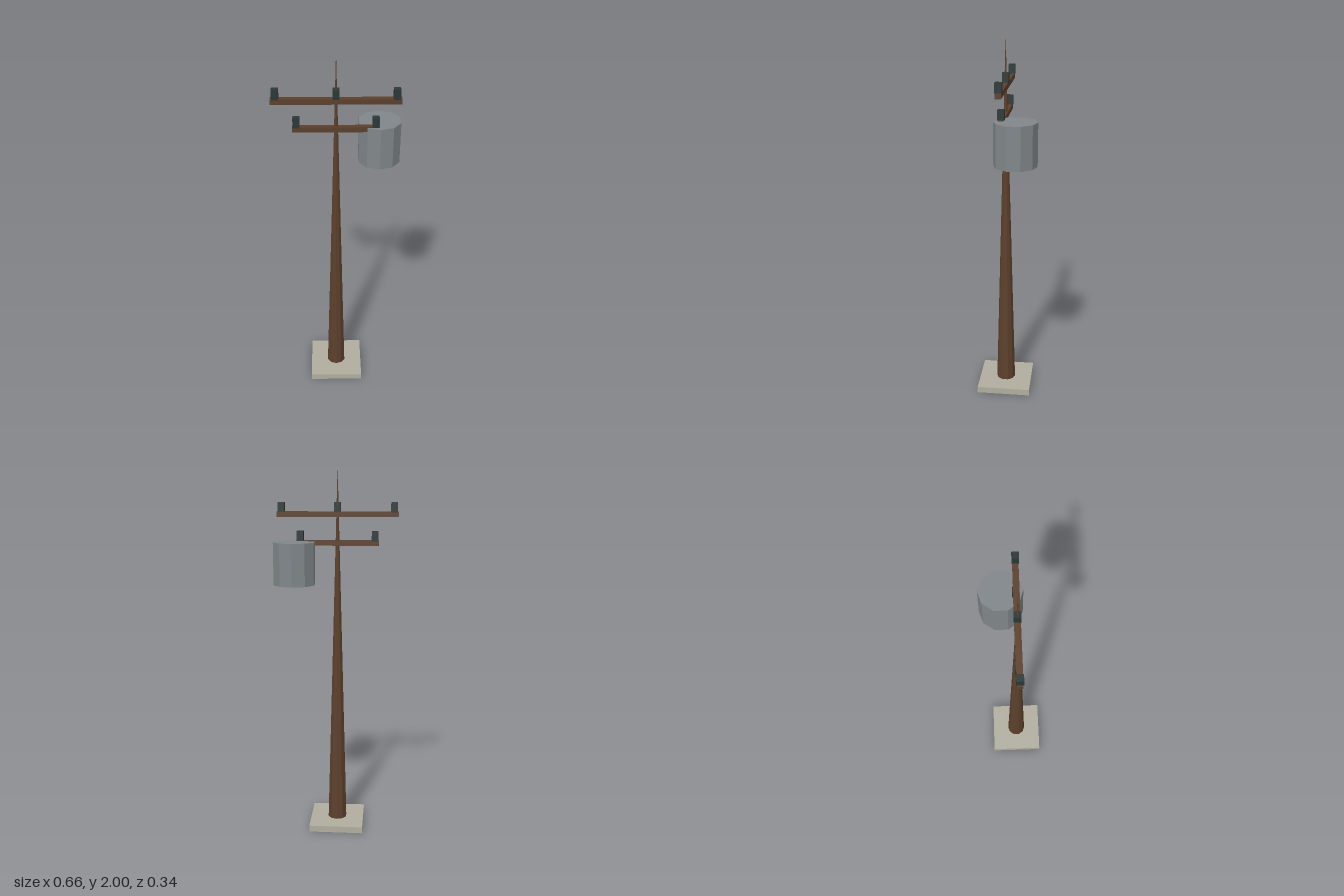
import * as THREE from 'three';

export function createModel() {
  const model = new THREE.Group();
  model.name = 'utilityPole';

  const material = (name, color) => {
    const m = new THREE.MeshStandardMaterial({ color, flatShading: true });
    m.name = name;
    return m;
  };
  const wood = material('brown wood', 0x5c402c);
  const concrete = material('pale concrete', 0xb0ad9f);
  const steel = material('grey steel', 0x80868a);
  const ceramic = material('dark ceramic', 0x2c3737);

  // Centre line of the pole
  const px = -0.005, pz = 0.017;

  const add = (name, geometry, mat, x, y, z) => {
    const mesh = new THREE.Mesh(geometry, mat);
    mesh.name = name;
    mesh.position.set(x, y, z);
    model.add(mesh);
  };
  const box = (name, w, h, d, mat, x, bottom, z) =>
    add(name, new THREE.BoxGeometry(w, h, d), mat, x, bottom + h / 2, z);

  // Square footing and ten-sided pole tapering to a point
  box('footing', 0.3, 0.036, 0.3, concrete, px, 0, pz);
  add('pole', new THREE.CylinderGeometry(0.0005, 0.054, 1.995, 10), wood, px, 1.0025, pz);

  // Crossarms, each with its row of insulators
  const crossarm = (name, length, depth, bottom, offsets) => {
    const h = 0.028;
    box(name + 'Crossarm', length, h, depth, wood, px, bottom, pz);
    offsets.forEach((dx) =>
      box(name + 'Insulator', 0.035, 0.052, 0.035, ceramic, px + dx, bottom + h - 0.003, pz));
  };
  crossarm('upper', 0.65, 0.03, 1.753, [-0.3, 0, 0.3]);
  crossarm('lower', 0.44, 0.028, 1.602, [-0.2, 0.2]);

  // Transformer tank hung behind the lower crossarm
  add('transformer', new THREE.CylinderGeometry(0.1125, 0.1125, 0.225, 10), steel, 0.22, 1.5125, -0.058);

  return model;
}
